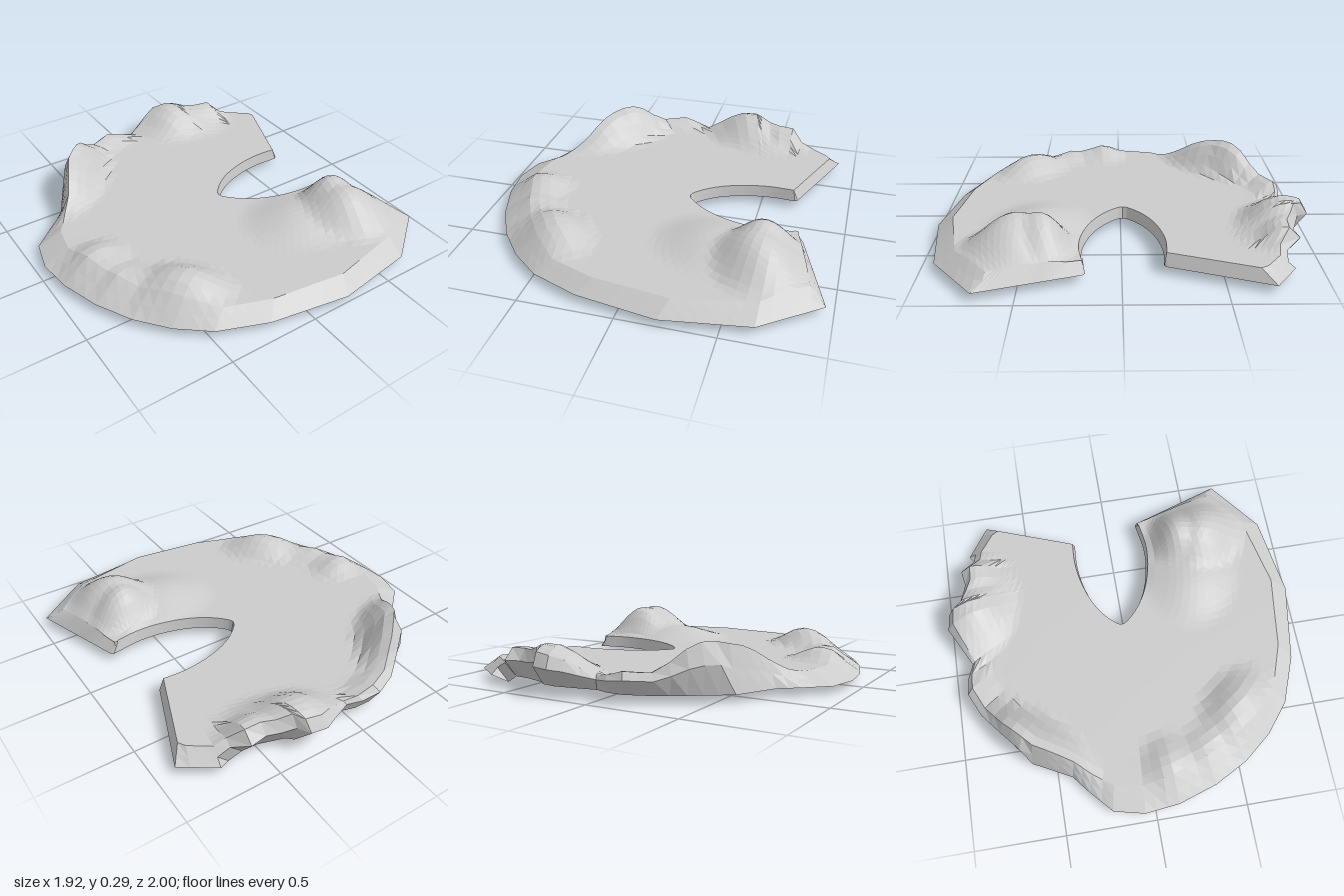
import * as THREE from 'three';

const BASE = 0.04, DECK = 0.105;

// Rim stations from the back tip round to the front tip:
// x, z, crest inset, foot inset (undercut cliffs), foot height
const RIM = [
  [0.905, -0.73, 0.08, 0, BASE], [0.73, -0.85, 0.08, 0, BASE], [0.66, -0.82, 0.04, 0.02, 0],
  [0.59, -0.895, 0.06, 0.08, BASE], [0.50, -0.88, 0.04, 0.06, BASE], [0.36, -0.93, 0.03, 0.07, BASE],
  [0.32, -0.99, 0.04, 0.10, BASE], [0.23, -1.0, 0.04, 0.10, BASE], [0.02, -0.89, 0.02, 0.03, BASE],
  [-0.06, -0.92, 0.03, 0.04, BASE], [-0.16, -0.93, 0.04, 0.05, BASE], [-0.29, -0.87, 0.04, 0.04, BASE],
  [-0.42, -0.77, 0.04, 0.02, BASE], [-0.59, -0.63, 0.06, 0, BASE], [-0.70, -0.42, 0.06, 0, BASE],
  [-0.80, -0.34, 0.09, 0, BASE], [-0.92, -0.23, 0.13, 0, BASE], [-0.96, -0.06, 0.14, 0, BASE],
  [-0.94, 0.13, 0.15, 0, BASE], [-0.87, 0.35, 0.15, 0, BASE], [-0.77, 0.54, 0.14, 0, BASE],
  [-0.64, 0.70, 0.12, 0, BASE], [-0.48, 0.83, 0.10, 0, BASE], [-0.22, 0.93, 0.10, 0, BASE],
  [0.21, 1.0, 0.10, 0, BASE], [0.66, 0.93, 0.11, 0, BASE], [0.96, 0.70, 0.11, 0, BASE],
];

// Edge of the notch, back to front
const NOTCH = new THREE.CatmullRomCurve3([
  [0.70, -0.22], [0.55, -0.225], [0.40, -0.20], [0.25, -0.14], [0.15, -0.06], [0.12, -0.01],
  [0.18, 0.07], [0.30, 0.15], [0.45, 0.20], [0.60, 0.215], [0.78, 0.19],
].map(([x, z]) => new THREE.Vector3(x, 0, z)));

// Hills: x, z, height, radius along, radius across, turn
const HILLS = [
  [-0.54, -0.60, 0.165, 0.42, 0.23, 0.85], [-0.38, -0.73, 0.06, 0.24, 0.16, 0.6],
  [-0.16, -0.89, 0.05, 0.20, 0.16, 0], [0.27, -0.92, 0.10, 0.28, 0.32, 0],
  [0.42, -0.80, 0.07, 0.32, 0.24, 0], [0.57, -0.82, 0.06, 0.13, 0.16, 0],
  [-0.73, 0.11, 0.062, 0.20, 0.17, 0], [-0.69, 0.31, 0.04, 0.18, 0.14, 0],
  [-0.47, 0.54, 0.095, 0.30, 0.20, -0.75],
  [0.62, 0.54, 0.155, 0.27, 0.30, 0], [0.62, 0.35, 0.085, 0.22, 0.14, 0],
  [0.36, 0.44, 0.065, 0.36, 0.30, -0.3],
];

function height(x, z) {
  let y = DECK;
  for (const [hx, hz, h, a, b, turn] of HILLS) {
    const dx = x - hx, dz = z - hz, c = Math.cos(turn), s = Math.sin(turn);
    const d = Math.hypot((dx * c - dz * s) / a, (dx * s + dz * c) / b);
    if (d < 1) y += h * (1 - d * d) ** 2;
  }
  return y;
}

// Subdivide the rim evenly and measure the way along it
function rimStations(step) {
  const out = [];
  let length = 0;
  for (let i = 0; i < RIM.length - 1; i++) {
    const a = RIM[i], b = RIM[i + 1];
    const seg = Math.hypot(b[0] - a[0], b[1] - a[1]), n = Math.max(1, Math.round(seg / step));
    for (let k = 0; k < n; k++) {
      out.push({ v: a.map((p, j) => p + (b[j] - p) * k / n), s: length + seg * k / n });
    }
    length += seg;
  }
  out.push({ v: RIM[RIM.length - 1], s: length });
  return out.map(({ v, s }) => ({ v, t: s / length }));
}

// One cross-section: foot, lip, crest, land, notch edge, notch foot
function section({ v, t }, across, endShift) {
  const [x, z, crestIn, footIn, footY] = v;
  const notch = NOTCH.getPointAt(t);
  const rim = new THREE.Vector3(x, 0, z);
  const inward = notch.clone().sub(rim).normalize();
  const at = (d) => rim.clone().addScaledVector(inward, d);
  const foot = at(footIn).setY(footY);
  const crest = at(crestIn);
  if (endShift) crest.x -= endShift;
  crest.y = height(crest.x, crest.z);
  const lip = footIn > 0 ? at(0).setY((BASE + crest.y) / 2 + 0.02) : foot.clone().lerp(crest, 0.5);
  const row = [foot, lip, crest];
  const edge = notch.clone();
  if (endShift) edge.x -= endShift * 0.6;
  for (let j = 1; j <= across; j++) {
    const p = crest.clone().lerp(edge, j / across);
    p.y = height(p.x, p.z);
    row.push(p);
  }
  row[row.length - 1].y = DECK;
  // the notch wall leans slightly into the gap
  const toe = notch.clone().addScaledVector(inward, 0.012).setY(BASE);
  row.push(toe);
  return row;
}

// Low closing row at either tip of the land
function tipRow(row, rim, notch) {
  const a = new THREE.Vector3(rim[0], BASE, rim[1]);
  const b = new THREE.Vector3(notch.x + 0.01, BASE, notch.z);
  return row.map((p, j) => a.clone().lerp(b, THREE.MathUtils.clamp((j - 2) / (row.length - 4), 0, 1)));
}

export function createModel() {
  const group = new THREE.Group();
  group.name = 'island';

  const stations = rimStations(0.075), last = stations.length - 1;
  const rows = stations.map((s, i) => section(s, 18, i === 0 ? 0.03 : i === last ? 0.07 : 0));
  rows.unshift(tipRow(rows[0], RIM[0], NOTCH.getPoint(0)));
  rows.push(tipRow(rows[rows.length - 1], RIM[RIM.length - 1], NOTCH.getPoint(1)));

  const positions = [], index = [], w = rows[0].length;
  rows.forEach((row) => row.forEach((p) => positions.push(p.x, p.y, p.z)));
  for (let i = 0; i < rows.length - 1; i++) {
    for (let j = 0; j < w - 1; j++) {
      const a = i * w + j, b = a + w;
      index.push(a, b, a + 1, b, b + 1, a + 1);
    }
  }
  const geometry = new THREE.BufferGeometry();
  geometry.setAttribute('position', new THREE.Float32BufferAttribute(positions, 3));
  geometry.setIndex(index);
  geometry.computeVertexNormals();

  const land = new THREE.Mesh(geometry, new THREE.MeshStandardMaterial({
    color: 0xcccccc, flatShading: true, side: THREE.DoubleSide,
  }));
  land.name = 'land';
  group.add(land);
  return group;
}
